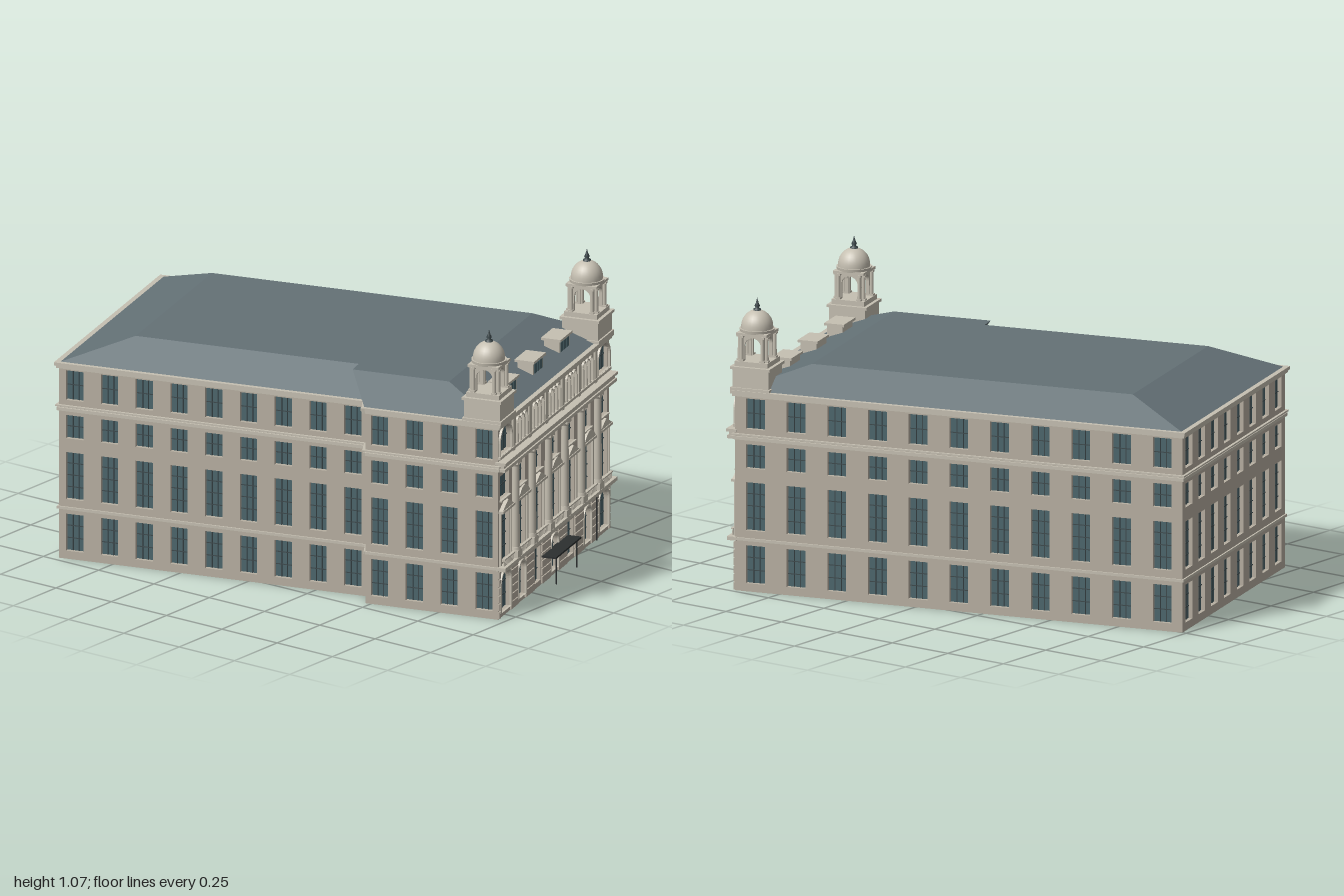
import * as THREE from 'three';
import { mergeGeometries } from 'three/addons/utils/BufferGeometryUtils.js';

const mat = (color) => new THREE.MeshStandardMaterial({ color, side: THREE.DoubleSide });
const stone = mat(0xb8b0a2), trim = mat(0xc6c0b2), slate = mat(0x647176);
const glass = mat(0x4c666c), frame = mat(0x3d494c), dark = mat(0x2c2f30);

const box = (w, h, d, x, y, z) => new THREE.BoxGeometry(w, h, d).translate(x, y, z);
const rod = (r0, r1, h, x, y, z, n = 16) => new THREE.CylinderGeometry(r1, r0, h, n).translate(x, y + h / 2, z);
const slab = (shape, depth) => new THREE.ExtrudeGeometry(shape, { depth, bevelEnabled: false, curveSegments: 10 });

// Merge a list of pieces into one named mesh
function add(parent, name, parts, material) {
  if (!parts.length) return;
  const geo = mergeGeometries(parts.map((g) => (g.index ? g.toNonIndexed() : g)));
  const mesh = new THREE.Mesh(geo, material);
  mesh.name = name;
  parent.add(mesh);
}

// Opening outline, square or round-headed; x is its centre, y its sill
function opening({ x, y, w, h, arch }, Type = THREE.Path) {
  const p = new Type(), r = w / 2, top = arch ? y + h - r : y + h;
  p.moveTo(x - r, y);
  p.lineTo(x + r, y);
  p.lineTo(x + r, top);
  if (arch) p.absarc(x, top, r, 0, Math.PI, false);
  else p.lineTo(x - r, top);
  p.closePath();
  return p;
}

const rect = (w, h) => new THREE.Shape([[0, 0], [w, 0], [w, h], [0, h]].map((p) => new THREE.Vector2(...p)));

// Wall from a to b in plan; its own x runs along the wall, z points outward
function wall(parent, name, a, b, windows) {
  const g = new THREE.Group(), dx = b[0] - a[0], dz = b[1] - a[1], L = Math.hypot(dx, dz);
  g.name = name;
  g.position.set(a[0], 0, a[1]);
  g.rotation.y = Math.atan2(-dz, dx);
  parent.add(g);
  const shape = rect(L, 0.735), bars = [];
  for (const o of windows) {
    shape.holes.push(opening(o));
    if (o.w > 0.04) {
      for (const k of [-1, 1]) bars.push(box(0.003, o.h, 0.003, o.x + k * o.w / 6, o.y + o.h / 2, -0.014));
      const n = Math.max(2, Math.round(o.h / 0.045));
      for (let i = 1; i < n; i++) bars.push(box(o.w, 0.003, 0.003, o.x, o.y + (o.h * i) / n, -0.014));
    }
  }
  add(g, 'wall', [slab(shape, 0.016).translate(0, 0, -0.016)], stone);
  if (windows.length) add(g, 'glass', [new THREE.PlaneGeometry(L - 0.03, 0.72).translate(L / 2, 0.365, -0.0155)], glass);
  add(g, 'glazingBars', bars, frame);
  // String courses and eaves cornice
  const course = (y, h, p) => box(L + p * 2, h, p + 0.01, L / 2, y, p / 2 - 0.005);
  add(g, 'stringCourses', [course(0.192, 0.01, 0.006), course(0.565, 0.012, 0.007), course(0.578, 0.006, 0.01),
    course(0.724, 0.01, 0.008), course(0.735, 0.012, 0.014)], trim);
  return { g, L };
}

// Four storeys of plain windows at the given positions
const FLOORS = [[0.03, 0.14], [0.225, 0.178], [0.455, 0.088], [0.6, 0.112]];
const plain = (count, start, step, w = 0.066) => Array.from({ length: count }, (_, i) =>
  FLOORS.map(([y, h]) => ({ x: start + i * step, y, w, h }))).flat();

// Main entrance front
function entranceFront(parent, a, b) {
  const L = Math.abs(a[1] - b[1]), c = L / 2, S = 0.1615, END = 0.482;
  const bays = [-2, -1, 0, 1, 2].map((i) => c + i * S), ends = [c - END, c + END];
  const wins = [], ground = [];
  for (const x of ends) {
    ground.push({ x, y: 0.02, w: 0.096, h: 0.15, arch: true });
    wins.push({ x, y: 0.205, w: 0.09, h: 0.19 }, { x, y: 0.445, w: 0.09, h: 0.09 },
      { x, y: 0.615, w: 0.11, h: 0.105, arch: true });
  }
  bays.forEach((x, i) => {
    const arch = i % 2 === 0;
    ground.push({ x, y: 0.02, w: 0.07, h: 0.132, arch });
    wins.push({ x, y: 0.205, w: 0.086, h: 0.19 }, { x, y: 0.445, w: 0.08, h: 0.088 });
    for (const k of [-1, 0, 1]) wins.push({ x: x + k * 0.033, y: 0.617, w: 0.026, h: 0.093, arch: true });
  });
  const { g } = wall(parent, 'entranceFront', a, b, [...ground, ...wins]);

  // Rusticated courses in the gaps between ground floor openings
  const blocks = [], sorted = ground.sort((p, q) => p.x - q.x);
  for (let i = 0; i <= sorted.length; i++) {
    const x0 = i ? sorted[i - 1].x + sorted[i - 1].w / 2 + 0.004 : 0;
    const x1 = i < sorted.length ? sorted[i].x - sorted[i].w / 2 - 0.004 : L;
    for (let k = 0; k < 6; k++) blocks.push(box(x1 - x0, 0.026, 0.007, (x0 + x1) / 2, 0.016 + k * 0.03, 0.0025));
  }
  add(g, 'rustication', blocks, stone);

  // Giant columns with pedestals and capitals
  const cols = [], rails = [];
  for (let i = 0; i < 6; i++) {
    const x = c + (i - 2.5) * S, z = 0.012;
    cols.push(box(0.042, 0.026, 0.034, x, 0.211, z), rod(0.019, 0.017, 0.012, x, 0.224, z), rod(0.0155, 0.013, 0.306, x, 0.236, z),
      rod(0.014, 0.019, 0.012, x, 0.54, z), box(0.04, 0.01, 0.034, x, 0.555, z));
    cols.push(box(0.022, 0.13, 0.008, x, 0.66, 0.003));
  }
  add(g, 'columns', cols, trim);
  // Balustrades below the tall windows
  for (const x of [...bays, ...ends]) {
    const w = bays.includes(x) ? 0.118 : 0.1;
    rails.push(box(w, 0.005, 0.01, x, 0.223, 0.016));
    for (let k = -5; k <= 5; k++) rails.push(rod(0.003, 0.002, 0.023, x + (k * w) / 11, 0.198, 0.016, 6));
  }
  add(g, 'balustrades', rails, trim);
  // Ledge under the columns, entablature above, parapet cornice
  add(g, 'entablature', [box(L + 0.01, 0.014, 0.036, c, 0.191, 0.012), box(L + 0.01, 0.012, 0.034, c, 0.566, 0.012),
    box(L, 0.014, 0.026, c, 0.579, 0.01), box(L + 0.016, 0.01, 0.04, c, 0.591, 0.012), box(L, 0.01, 0.012, c, 0.608, 0.003)], trim);

  // Alternating triangular and curved pediments, with sills above
  const heads = [];
  [ends[0], ...bays, ends[1]].forEach((x, i) => {
    const s = new THREE.Shape();
    s.moveTo(-0.056, 0);
    s.lineTo(0.056, 0);
    if (i % 2) s.quadraticCurveTo(0, 0.072, -0.056, 0);
    else s.lineTo(0, 0.032);
    s.closePath();
    heads.push(slab(s, 0.015).translate(x, 0.407, 0), box(0.118, 0.009, 0.02, x, 0.403, 0.008), box(0.096, 0.006, 0.01, x, 0.442, 0.003));
    for (const k of [-1, 1]) heads.push(box(0.008, 0.2, 0.009, x + k * 0.051, 0.3, 0.003));
  });
  add(g, 'pediments', heads, trim);

  // Raised surrounds of round-headed windows and attic colonnettes
  const rings = [];
  for (const o of [...ground, ...wins]) if (o.arch) {
    const t = o.w > 0.04 ? 0.007 : 0.003;
    const s = opening({ ...o, w: o.w + 2 * t, h: o.h + t }, THREE.Shape);
    s.holes.push(opening({ ...o, y: o.y + 0.0005 }));
    rings.push(slab(s, 0.008));
  }
  for (const x of bays) for (const k of [-1.5, -0.5, 0.5, 1.5]) rings.push(rod(0.005, 0.004, 0.075, x + k * 0.033, 0.617, 0.007, 8));
  add(g, 'archSurrounds', rings, trim);

  // Entrance canopy on two posts, and a drainpipe
  add(g, 'canopy', [box(0.25, 0.007, 0.056, c, 0.106, 0.03),
    ...[-0.1, 0.1].map((k) => rod(0.003, 0.003, 0.103, c + k, 0, 0.05, 8)), rod(0.003, 0.003, 0.185, c + 0.405, 0, 0.008, 8)], dark);

  // Roof dormers
  for (const k of [-1, 0, 1]) {
    const x = c + k * 0.261, d = new THREE.Group();
    d.name = 'dormer';
    d.position.set(x, 0, -0.09);
    g.add(d);
    add(d, 'dormerBody', [box(0.1, 0.07, 0.06, 0, 0.77, 0), box(0.116, 0.009, 0.076, 0, 0.809, 0)], trim);
    add(d, 'dormerWindow', [-1, 0, 1].map((i) => box(0.022, 0.036, 0.004, i * 0.027, 0.78, 0.03)), glass);
  }
  for (const x of ends) tower(g, x, -0.06);
}

// Corner tower: block, open arched lantern, dome and finial
function tower(parent, x, z) {
  const t = new THREE.Group();
  t.name = 'cornerTower';
  t.position.set(x, 0, z);
  parent.add(t);
  add(t, 'towerBase', [box(0.138, 0.09, 0.138, 0, 0.775, 0), box(0.15, 0.012, 0.15, 0, 0.745, 0),
    box(0.152, 0.01, 0.152, 0, 0.823, 0), box(0.126, 0.018, 0.126, 0, 0.837, 0)], trim);
  const arches = [], posts = [];
  for (let i = 0; i < 4; i++) {
    const s = new THREE.Shape([[-0.046, 0.845], [0.046, 0.845], [0.046, 0.945], [-0.046, 0.945]].map((p) => new THREE.Vector2(...p)));
    s.holes.push(opening({ x: 0, y: 0.8455, w: 0.062, h: 0.085, arch: true }));
    arches.push(slab(s, 0.01).translate(0, 0, 0.036).rotateY((i * Math.PI) / 2));
    for (const k of [-1, 1]) {
      const post = mergeGeometries([rod(0.0075, 0.0065, 0.088, k * 0.04, 0.85, 0.052, 10), box(0.018, 0.007, 0.018, k * 0.04, 0.849, 0.052),
        box(0.017, 0.007, 0.017, k * 0.04, 0.937, 0.052)]);
      posts.push(post.rotateY((i * Math.PI) / 2));
    }
  }
  add(t, 'lanternArches', arches, trim);
  add(t, 'lanternColumns', posts, trim);
  add(t, 'lanternCornice', [box(0.118, 0.01, 0.118, 0, 0.945, 0), rod(0.062, 0.064, 0.012, 0, 0.948, 0, 24)], trim);
  const dome = [[0.058, 0.958]];
  for (let i = 0; i <= 10; i++) dome.push([0.058 * Math.cos((i * Math.PI) / 20), 0.965 + 0.062 * Math.sin((i * Math.PI) / 20)]);
  add(t, 'dome', [new THREE.LatheGeometry(dome.map((p) => new THREE.Vector2(Math.max(p[0], 0), p[1])), 24)], trim);
  const spike = [[0.014, 1.022], [0.014, 1.03], [0.006, 1.034], [0.01, 1.042], [0.005, 1.052], [0, 1.072]];
  add(t, 'finial', [new THREE.LatheGeometry(spike.map((p) => new THREE.Vector2(...p)), 12)], frame);
}

// Hipped roof rising from the eaves to a flat top
function roof(parent) {
  const eaves = [[0.012, 1.032], [1.192, 1.032], [1.216, 1.108], [1.728, 1.108], [1.728, 0.012], [0.012, 0.012]];
  const flat = [[0.255, 0.898], [1.112, 0.898], [1.114, 0.963], [1.485, 0.963], [1.485, 0.147], [0.255, 0.147]];
  const lo = eaves.map(([x, z]) => [x, 0.739, z]), hi = flat.map(([x, z]) => [x, 0.826, z]), pos = [];
  lo.forEach((p, i) => {
    const j = (i + 1) % lo.length;
    pos.push(...p, ...lo[j], ...hi[j], ...p, ...hi[j], ...hi[i]);
  });
  const outline = flat.map(([x, z]) => new THREE.Vector2(x, -z));
  for (const f of THREE.ShapeUtils.triangulateShape(outline, [])) for (const i of f) pos.push(...hi[i]);
  const geo = new THREE.BufferGeometry();
  geo.setAttribute('position', new THREE.Float32BufferAttribute(pos, 3));
  geo.computeVertexNormals();
  add(parent, 'roof', [geo], slate);
}

export function createModel() {
  const model = new THREE.Group(), site = new THREE.Group();
  model.name = 'building';
  site.name = 'rotatedPlan';
  site.position.set(-1, 0, -0.26);
  site.rotation.y = 0.2854;
  model.add(site);

  // Plan corners, anticlockwise seen from above
  const F = [0.012, 1.032], E = [1.195, 1.032], D = [1.218, 1.105], C = [1.728, 1.105], B = [1.728, 0.012], A = [0.012, 0.012];
  wall(site, 'southWall', F, E, plain(9, 0.061, 0.1335));
  wall(site, 'stepWall', E, D, []);
  wall(site, 'southWing', D, C, plain(4, 0.054, 0.134));
  entranceFront(site, C, B);
  wall(site, 'northWall', B, A, plain(11, 0.078, 0.156, 0.072));
  wall(site, 'westWall', A, F, plain(8, 0.065, 0.127));
  roof(site);

  const plan = new THREE.Shape([F, E, D, C, B, A].map(([x, z]) => new THREE.Vector2(x, z)));
  add(site, 'floor', [new THREE.ShapeGeometry(plan).rotateX(Math.PI / 2).translate(0, 0.001, 0)], dark);
  return model;
}
